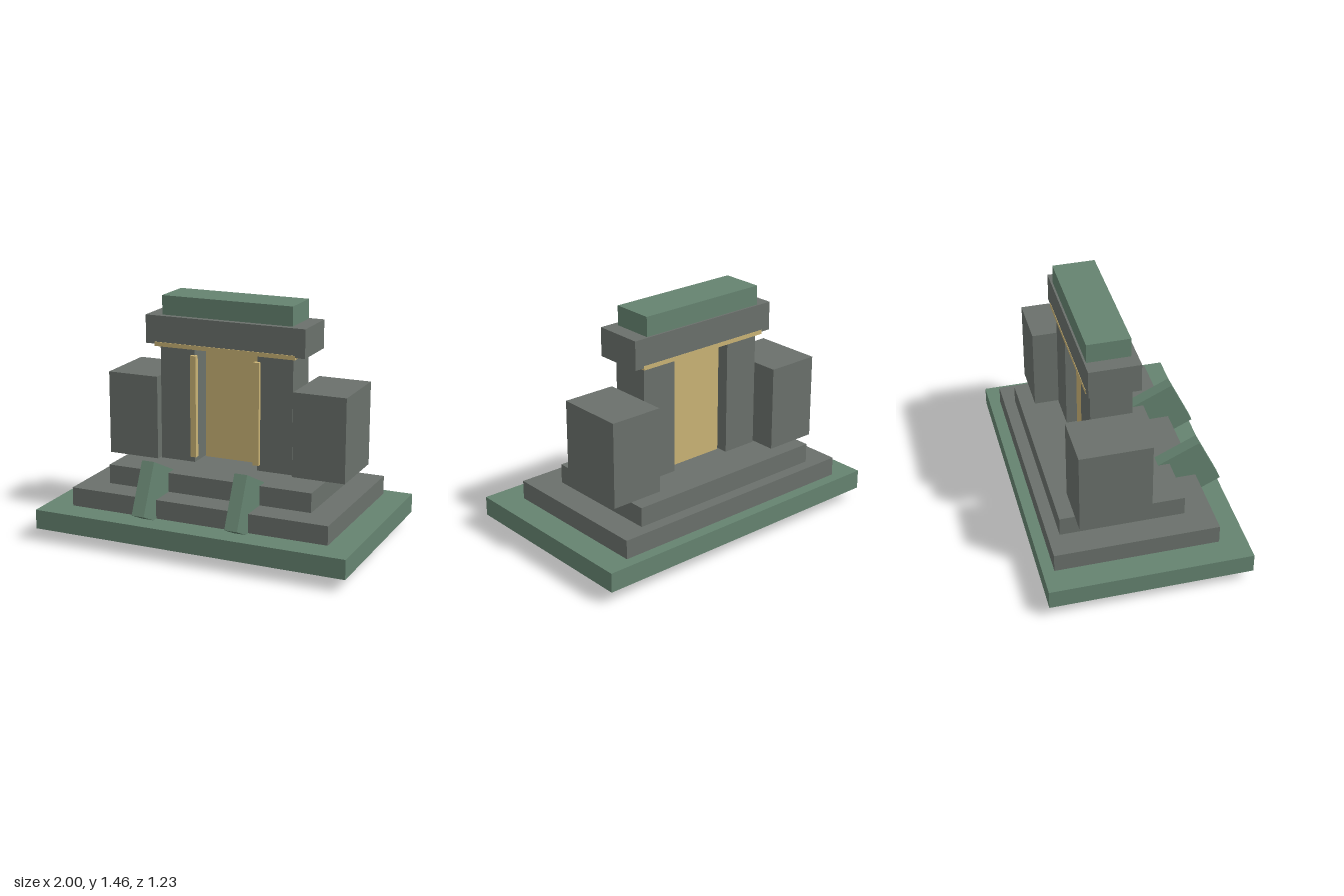
import * as THREE from 'three';

const material = (name, color) => {
  const m = new THREE.MeshStandardMaterial({ color });
  m.name = name;
  return m;
};

export function createModel() {
  const green = material('mossGreen', 0x658370);
  const grey = material('stoneGrey', 0x6a706b);
  const gold = material('paleGold', 0xcab375);
  const group = new THREE.Group();
  group.name = 'monumentGate';

  // Box given by its extents on each axis
  const block = (name, mat, [x0, x1], [y0, y1], [z0, z1]) => {
    const mesh = new THREE.Mesh(new THREE.BoxGeometry(x1 - x0, y1 - y0, z1 - z0), mat);
    mesh.position.set((x0 + x1) / 2, (y0 + y1) / 2, (z0 + z1) / 2);
    mesh.name = name;
    group.add(mesh);
    return mesh;
  };

  // Stepped plinth
  block('basePlate', green, [-1, 1], [0.08, 0.2], [-0.617, 0.617]);
  block('lowerStep', grey, [-0.833, 0.833], [0.2, 0.317], [-0.547, 0.453]);
  block('upperStep', grey, [-0.665, 0.665], [0.317, 0.437], [-0.475, 0.285]);

  // Door panel, set back between the pillars
  block('doorPanel', gold, [-0.197, 0.197], [0.437, 1.128], [-0.165, -0.117]);

  // Roof: gold ledge, lintel and cap
  block('goldLedge', gold, [-0.46, 0.46], [1.157, 1.183], [-0.262, 0.055]);
  block('lintel', grey, [-0.522, 0.522], [1.17, 1.347], [-0.26, 0.05]);
  block('roofCap', green, [-0.427, 0.427], [1.347, 1.467], [-0.248, 0.012]);

  for (const [side, s] of [['left', 1], ['right', -1]]) {
    const span = (a, b) => (s > 0 ? [a, b] : [-b, -a]);
    block(side + 'Pillar', grey, span(0.208, 0.437), [0.437, 1.17], [-0.23, 0.02]);
    block(side + 'SideBlock', grey, span(0.45, 0.785), [0.437, 0.962], [-0.382, 0.05]);
    block(side + 'DoorTrim', gold, span(0.19, 0.228), [0.475, 1.115], [0.012, 0.044]);
    // Tilted buttress driven through the steps and base
    const fin = block(side + 'Buttress', green, span(0.26, 0.34), [0.116, 0.449], [-0.0215, 0.5715]);
    fin.rotation.x = -0.445;
  }
  return group;
}
